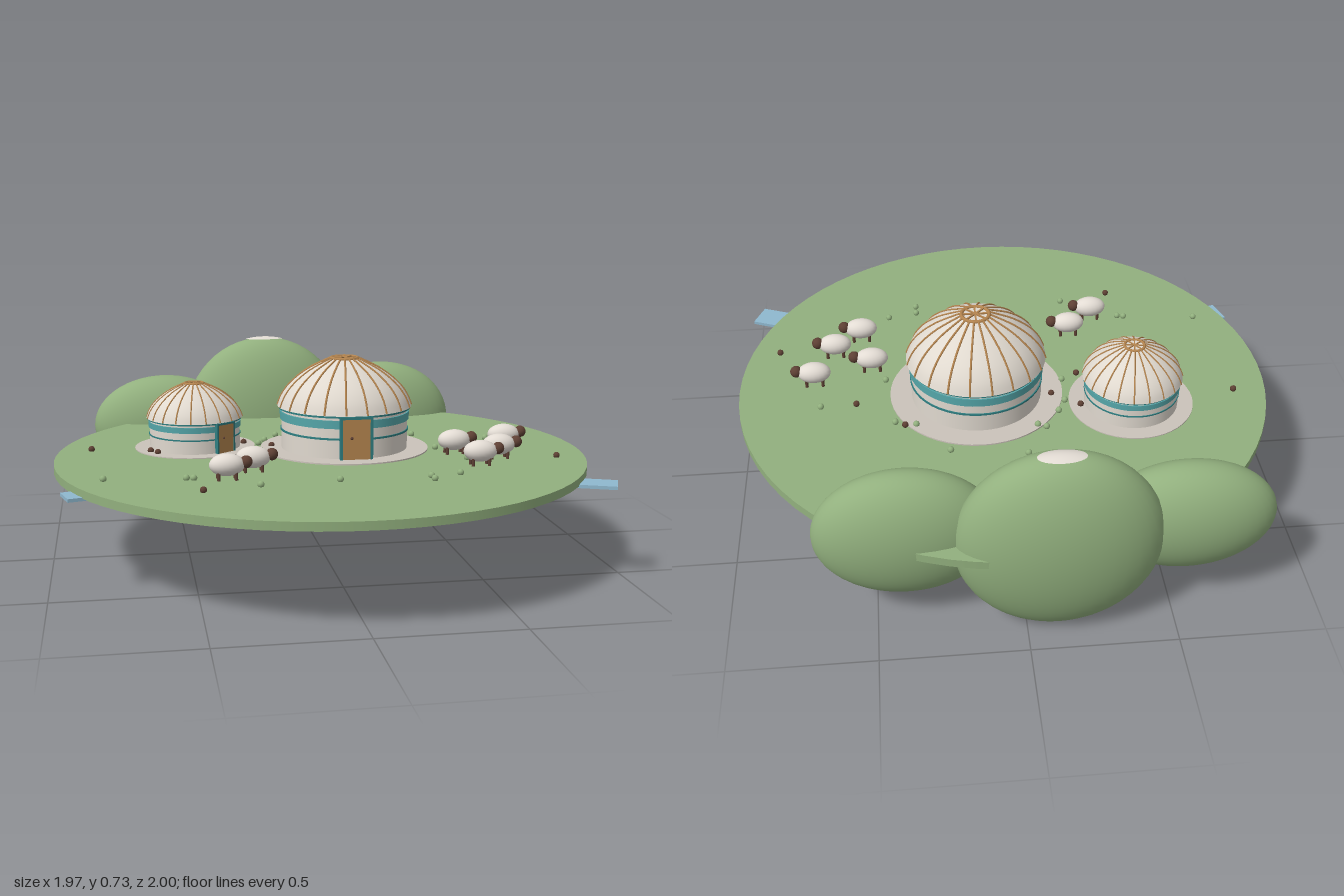
import * as THREE from 'three';

const mat = (name, color, side = THREE.FrontSide) => {
  const m = new THREE.MeshStandardMaterial({ color, side });
  m.name = name;
  return m;
};
const M = {
  grass: mat('grass green', 0x92b07e),
  felt: mat('felt white', 0xe0d9cf, THREE.DoubleSide),
  gravel: mat('gravel', 0xcbc3ba),
  teal: mat('teal trim', 0x55a6a9),
  darkTeal: mat('dark teal rope', 0x2f7f82),
  wood: mat('wood', 0xb5854f),
  brown: mat('dark brown', 0x5e4034),
  water: mat('water blue', 0x8fb8cf),
  wool: mat('wool', 0xe3dcd4),
};
const GROUND = 0.375;

function add(parent, name, geo, material, x = 0, y = 0, z = 0) {
  const mesh = new THREE.Mesh(geo, material);
  mesh.name = name;
  mesh.position.set(x, y, z);
  parent.add(mesh);
  return mesh;
}

// Round tent; y = 0 is its floor, the door faces +z
function createTent(name) {
  const g = new THREE.Group();
  g.name = name;
  add(g, 'gravelPad', new THREE.CylinderGeometry(0.32, 0.32, 0.006, 48), M.gravel, 0, 0.002);
  add(g, 'wall', new THREE.CylinderGeometry(0.24, 0.24, 0.17, 48), M.felt, 0, 0.085);

  // Trim bands and ropes
  const band = (n, r, h, y, m) => add(g, n, new THREE.CylinderGeometry(r, r, h, 48), m, 0, y);
  band('wideBand', 0.246, 0.03, 0.132, M.teal);
  band('eaveBand', 0.25, 0.014, 0.164, M.darkTeal);
  band('lowerRope', 0.244, 0.007, 0.078, M.darkTeal);

  // Domed roof
  const curve = new THREE.SplineCurve([
    [0.255, 0.165], [0.237, 0.208], [0.2, 0.255], [0.137, 0.303], [0.055, 0.343],
  ].map(([r, y]) => new THREE.Vector2(r, y)));
  add(g, 'roof', new THREE.LatheGeometry(curve.getPoints(16), 48), M.felt);
  add(g, 'roofTop', new THREE.CylinderGeometry(0.054, 0.056, 0.004, 32), M.felt, 0, 0.342);

  // Roof poles follow the dome
  const poleCurve = new THREE.CatmullRomCurve3(
    curve.getPoints(8).map((p) => new THREE.Vector3(0, p.y + 0.001, p.x)));
  const poleGeo = new THREE.TubeGeometry(poleCurve, 12, 0.004, 5);
  for (let i = 0; i < 20; i++) {
    add(g, 'roofPole', poleGeo, M.wood).rotation.y = ((i + 0.5) / 20) * Math.PI * 2;
  }

  // Crown ring with spokes
  add(g, 'crownRing', new THREE.TorusGeometry(0.05, 0.007, 8, 32), M.wood, 0, 0.344).rotation.x = Math.PI / 2;
  for (let i = 0; i < 4; i++) {
    add(g, 'crownSpoke', new THREE.BoxGeometry(0.1, 0.006, 0.006), M.wood, 0, 0.346).rotation.y = (i * Math.PI) / 4;
  }

  // Door, frame and knob
  add(g, 'door', new THREE.BoxGeometry(0.104, 0.15, 0.02), M.wood, 0, 0.079, 0.241);
  for (const s of [-1, 1]) {
    add(g, 'doorPost', new THREE.BoxGeometry(0.01, 0.16, 0.026), M.darkTeal, s * 0.056, 0.08, 0.24);
  }
  add(g, 'doorLintel', new THREE.BoxGeometry(0.122, 0.01, 0.026), M.darkTeal, 0, 0.158, 0.24);
  add(g, 'doorKnob', new THREE.SphereGeometry(0.006, 10, 8), M.brown, -0.018, 0.085, 0.254);
  return g;
}

// Sheep facing +x, standing on y = 0
function createSheep() {
  const g = new THREE.Group();
  g.name = 'sheep';
  add(g, 'body', new THREE.SphereGeometry(1, 20, 14), M.wool, 0, 0.052).scale.set(0.062, 0.039, 0.041);
  add(g, 'head', new THREE.SphereGeometry(0.022, 14, 10), M.brown, 0.066, 0.06);
  for (const x of [-0.03, 0.03]) for (const z of [-0.018, 0.018]) {
    add(g, 'leg', new THREE.CylinderGeometry(0.006, 0.006, 0.03, 8), M.brown, x, 0.015, z);
  }
  return g;
}

export function createModel() {
  const root = new THREE.Group();
  root.name = 'steppeCamp';

  // Meadow disc
  add(root, 'meadow', new THREE.CylinderGeometry(0.984, 0.984, 0.03, 72), M.grass, 0, GROUND - 0.015, 0.016);

  // River running beneath the meadow
  const bends = [[-0.935, 0.435], [-0.48, 0.3], [-0.05, 0.54], [0.42, 0.36], [0.95, 0.577]];
  for (let i = 0; i < bends.length - 1; i++) {
    const [[x0, z0], [x1, z1]] = [bends[i], bends[i + 1]];
    const extra = i === 1 || i === 2 ? 0.03 : 0;
    const geo = new THREE.BoxGeometry(Math.hypot(x1 - x0, z1 - z0) + extra, 0.012, 0.1);
    add(root, 'river', geo, M.water, (x0 + x1) / 2, 0.343 + i * 0.0004, (z0 + z1) / 2)
      .rotation.y = -Math.atan2(z1 - z0, x1 - x0);
  }

  // Hills along the back
  const hills = [
    [-0.105, -0.848, 0.347, 0.353, 0.152],
    [-0.545, -0.767, 0.3, 0.208, 0.133],
    [0.392, -0.767, 0.308, 0.245, 0.133],
  ];
  for (const [x, z, rx, ry, rz] of hills) {
    add(root, 'hill', new THREE.SphereGeometry(1, 40, 28), M.grass, x, 0.354, z).scale.set(rx, ry, rz);
  }
  add(root, 'snowCap', new THREE.SphereGeometry(1, 32, 6, 0, Math.PI * 2, 0, 0.23), M.wool, -0.105, 0.356, -0.851)
    .scale.set(0.347, 0.354, 0.152);

  // Tents
  const large = createTent('largeTent');
  large.position.set(0.105, GROUND, -0.06);
  const small = createTent('smallTent');
  small.position.set(-0.458, GROUND, -0.165);
  small.scale.setScalar(0.715);
  small.rotation.y = 0.64;
  root.add(large, small);

  // Flock
  const flock = [[0.49, 0.12], [0.705, 0.045], [0.63, 0.225], [0.53, 0.326], [-0.285, 0.294], [-0.387, 0.4]];
  for (const [x, z] of flock) {
    const s = createSheep();
    s.position.set(x, GROUND, z);
    root.add(s);
  }

  // Grass tufts and stones
  const tufts = [
    [-0.05, -0.44], [0.22, -0.4], [-0.13, -0.3], [-0.1, -0.285], [-0.185, -0.21], [-0.215, -0.15], [-0.22, -0.02],
    [0.335, -0.245], [0.41, -0.225], [0.68, -0.11], [0.44, 0.035], [0.51, 0.23], [0.42, 0.46], [0.31, 0.485],
    [0.31, 0.53], [-0.01, 0.49], [-0.285, 0.52], [-0.525, 0.385], [-0.5, 0.39], [-0.805, 0.355],
  ];
  const stones = [
    [-0.85, -0.14], [-0.17, -0.105], [-0.28, 0.015], [-0.27, -0.18], [-0.63, -0.08], [-0.605, -0.045],
    [-0.48, 0.565], [0.845, 0.25], [0.55, -0.105], [0.375, -0.245],
  ];
  const dot = new THREE.SphereGeometry(0.012, 10, 8);
  for (const [x, z] of tufts) add(root, 'grassTuft', dot, M.grass, x, GROUND + 0.008, z);
  for (const [x, z] of stones) add(root, 'stone', dot, M.brown, x, GROUND + 0.008, z);

  return root;
}
